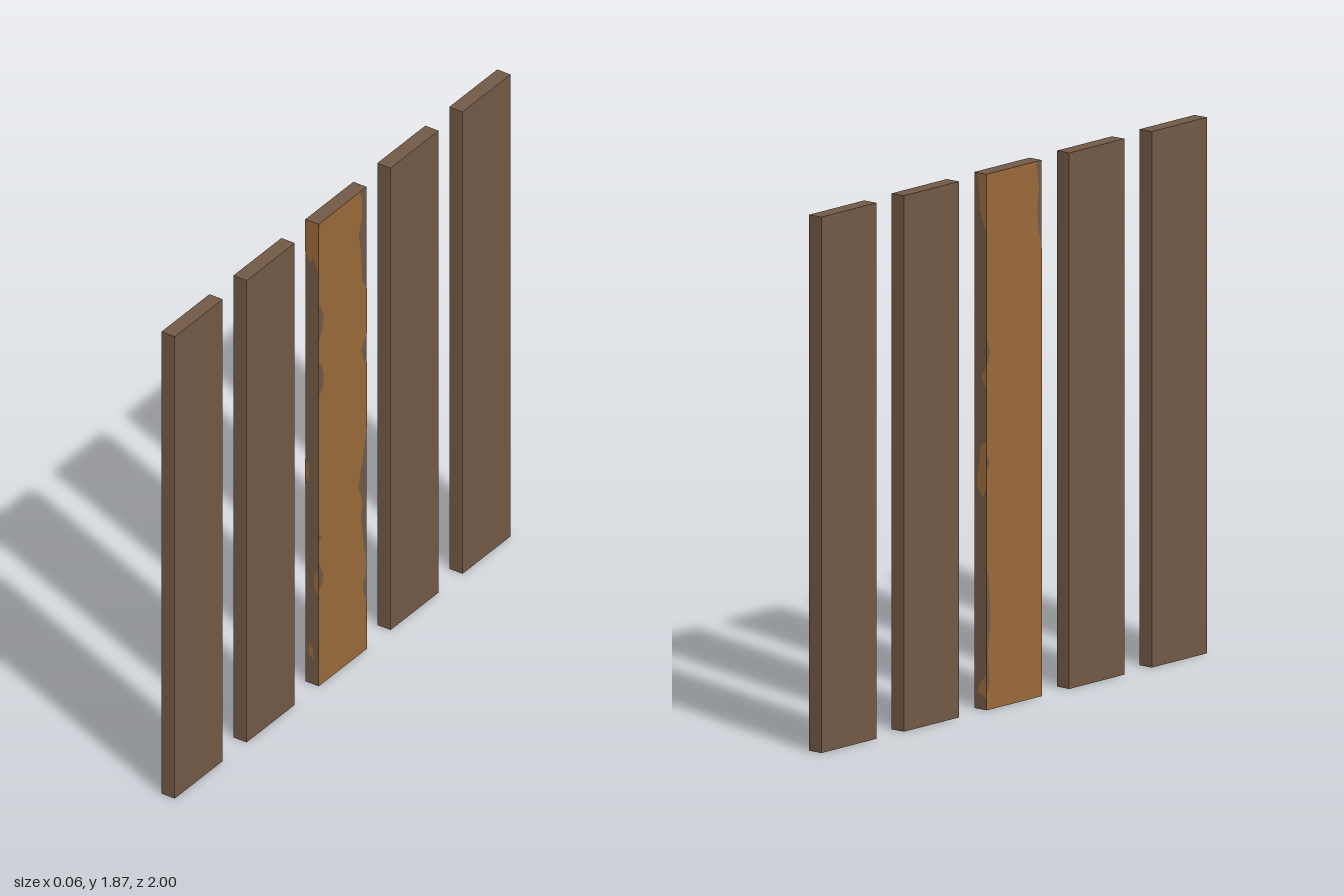
import * as THREE from 'three';

const HEIGHT = 1.87, WIDTH = 0.286, THICK = 0.055, PITCH = 0.4285;

// Edge wear given as [y, depth] from bottom to top; the worn wood shows beside the paint
const wear = {
  rightFaceLeft: [[0.39, 0], [0.4, 0.02], [0.43, 0.028], [0.47, 0.012], [0.5, 0], [0.58, 0], [0.6, 0.016], [0.61, 0],
    [1.18, 0], [1.19, 0.02], [1.24, 0.03], [1.29, 0.018], [1.31, 0], [1.4, 0], [1.43, 0.018], [1.48, 0.032], [1.53, 0.012], [1.54, 0], [1.85, 0], [1.87, 0.018]],
  rightFaceRight: [[0.2, 0], [0.22, 0.016], [0.27, 0.024], [0.31, 0.008], [0.36, 0.004], [0.42, 0.018], [0.5, 0.028], [0.55, 0.036], [0.6, 0.026], [0.68, 0.05], [0.73, 0.04], [0.8, 0.02], [0.87, 0.006], [0.9, 0],
    [1.16, 0], [1.18, 0.02], [1.23, 0.034], [1.26, 0.012], [1.28, 0], [1.46, 0], [1.5, 0.028], [1.63, 0.034], [1.7, 0.05], [1.76, 0.028], [1.83, 0.03], [1.87, 0.04]],
  leftFaceLeft: [[0.05, 0], [0.1, 0.015], [0.2, 0.005], [0.3, 0.02], [0.45, 0.012], [0.5, 0], [0.82, 0], [0.86, 0.015], [0.9, 0], [1.2, 0], [1.25, 0.018], [1.3, 0]],
  leftFaceRight: [[1.56, 0], [1.62, 0.015], [1.7, 0.025], [1.78, 0.015], [1.87, 0.03]],
};

// Painted outline between two worn long edges
function wornFace(left, right) {
  const h = WIDTH / 2, shape = new THREE.Shape();
  shape.moveTo(-h, 0);
  shape.lineTo(h, 0);
  right.forEach(([y, d]) => shape.lineTo(h - d, y));
  if (right[right.length - 1][0] < HEIGHT) shape.lineTo(h, HEIGHT);
  if (left[left.length - 1][0] < HEIGHT) shape.lineTo(-h, HEIGHT);
  [...left].reverse().forEach(([y, d]) => shape.lineTo(-h + d, y));
  return new THREE.ShapeGeometry(shape);
}

// Paint remnants for a narrow edge, u runs -1..1 across the thickness
const remnants = {
  front: [
    [[-1, 1.74], [-0.3, 1.7], [0.3, 1.73], [1, 1.66], [1, 1.87], [-1, 1.87]],
    [[-1, 0.8], [-0.4, 0.84], [-0.5, 0.88], [-1, 0.9]],
    [[0.2, 0.4], [1, 0.36], [1, 0.45], [0.5, 0.46]],
    [[-0.6, 0.12], [0.3, 0.1], [0.1, 0.15], [-0.4, 0.16]],
  ],
  back: [
    [[0, 1.74], [1, 1.66], [1, 1.87], [-0.4, 1.87]],
    [[-0.6, 0.78], [0.4, 0.74], [1, 0.78], [1, 0.94], [0.1, 0.92]],
    [[0.2, 1.16], [1, 1.12], [1, 1.2]],
    [[-0.5, 0.06], [1, 0.04], [1, 0.12], [0.2, 0.1]],
  ],
};

export function createModel() {
  const model = new THREE.Group();
  const wood = new THREE.MeshStandardMaterial({ color: 0x735a46 });
  wood.name = 'brown wood';
  const paint = new THREE.MeshStandardMaterial({ color: 0x9a6a3a });
  paint.name = 'ochre wood';

  // Five upright planks; the middle one has an ochre underside
  const plankGeo = new THREE.BoxGeometry(THICK, HEIGHT, WIDTH);
  for (let i = -2; i <= 2; i++) {
    const plank = new THREE.Mesh(plankGeo, i === 0 ? [wood, wood, wood, paint, wood, wood] : wood);
    plank.name = i === 0 ? 'middlePlank' : 'plank';
    plank.position.set(0, HEIGHT / 2, i * PITCH);
    model.add(plank);
  }

  const addFace = (name, geometry, angle, distance) => {
    const mesh = new THREE.Mesh(geometry, paint);
    mesh.name = name;
    mesh.rotation.y = angle;
    mesh.position.set(Math.sin(angle) * distance, 0, Math.cos(angle) * distance);
    model.add(mesh);
  };

  // Ochre broad faces with worn edges
  addFace('rightOchreFace', wornFace(wear.rightFaceLeft, wear.rightFaceRight), Math.PI / 2, THICK / 2 + 0.001);
  addFace('leftOchreFace', wornFace(wear.leftFaceLeft, wear.leftFaceRight), -Math.PI / 2, THICK / 2 + 0.001);

  // Ochre patches on the narrow edges
  const patches = (list) => new THREE.ShapeGeometry(list.map((pts) =>
    new THREE.Shape(pts.map(([u, y]) => new THREE.Vector2(u * THICK / 2, y)))));
  addFace('frontOchrePatches', patches(remnants.front), 0, WIDTH / 2 + 0.001);
  addFace('backOchrePatches', patches(remnants.back), Math.PI, WIDTH / 2 + 0.001);

  return model;
}
